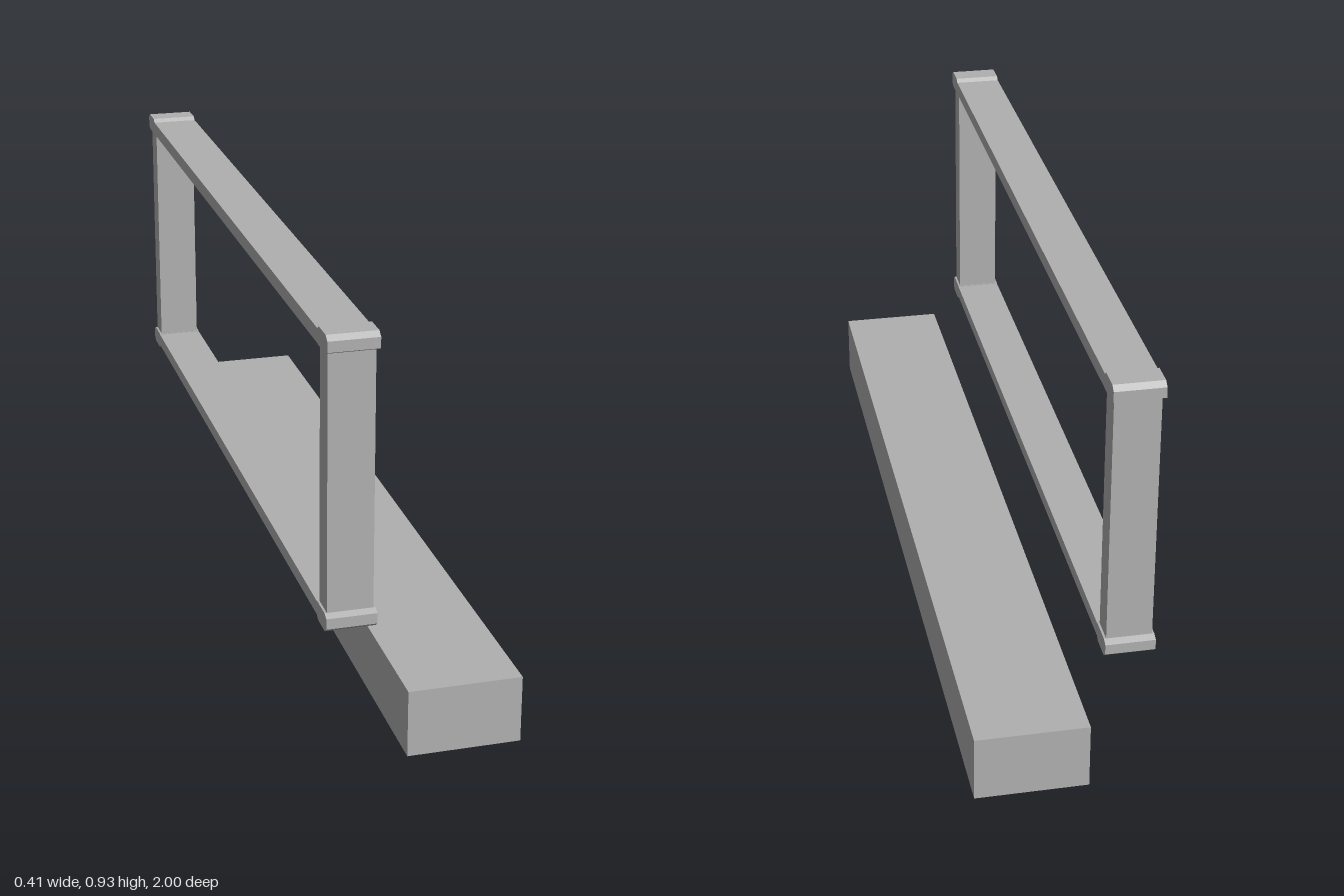
import * as THREE from 'three';

export function createModel() {
  const model = new THREE.Group();
  model.name = 'framedBarrier';
  const grey = new THREE.MeshStandardMaterial({ color: 0xb0b0b0 });
  grey.name = 'plain grey';

  const box = (name, parent, [x0, x1], [y0, y1], [z0, z1]) => {
    const mesh = new THREE.Mesh(new THREE.BoxGeometry(x1 - x0, y1 - y0, z1 - z0), grey);
    mesh.position.set((x0 + x1) / 2, (y0 + y1) / 2, (z0 + z1) / 2);
    mesh.name = name;
    parent.add(mesh);
  };

  // Long solid base block
  box('baseBlock', model, [-0.048, 0.205], [0, 0.154], [-1, 1]);

  // Upright rectangular frame: two rails and two slightly narrower posts
  const frame = new THREE.Group();
  frame.name = 'frame';
  model.add(frame);
  const width = [-0.205, -0.094];
  const midY = 0.601;
  box('topRail', frame, width, [0.89, 0.922], [-0.86, 0.86]);
  box('bottomRail', frame, width, [0.28, 0.311], [-0.86, 0.86]);
  for (const s of [-1, 1]) {
    const z = [0.849 * s, 0.908 * s].sort((a, b) => a - b);
    box(s > 0 ? 'frontPost' : 'backPost', frame, [-0.2, -0.099], [0.29, 0.912], z);
  }

  // Chamfered corner caps, profile given as [z, y - midY] and mirrored
  const profile = [
    [0.847, 0.288], [0.908, 0.288], [0.923, 0.295], [0.923, 0.319],
    [0.91, 0.329], [0.857, 0.329], [0.847, 0.321],
  ];
  for (const sz of [-1, 1]) {
    for (const sy of [-1, 1]) {
      // Shape x runs along -z once the extrusion is turned to run along +x
      const shape = new THREE.Shape(profile.map(([z, y]) => new THREE.Vector2(-sz * z, sy * y)));
      const geometry = new THREE.ExtrudeGeometry(shape, { depth: width[1] - width[0], bevelEnabled: false });
      geometry.rotateY(Math.PI / 2);
      const cap = new THREE.Mesh(geometry, grey);
      cap.position.set(width[0], midY, 0);
      cap.name = (sy > 0 ? 'top' : 'bottom') + (sz > 0 ? 'Front' : 'Back') + 'CornerCap';
      frame.add(cap);
    }
  }
  return model;
}
